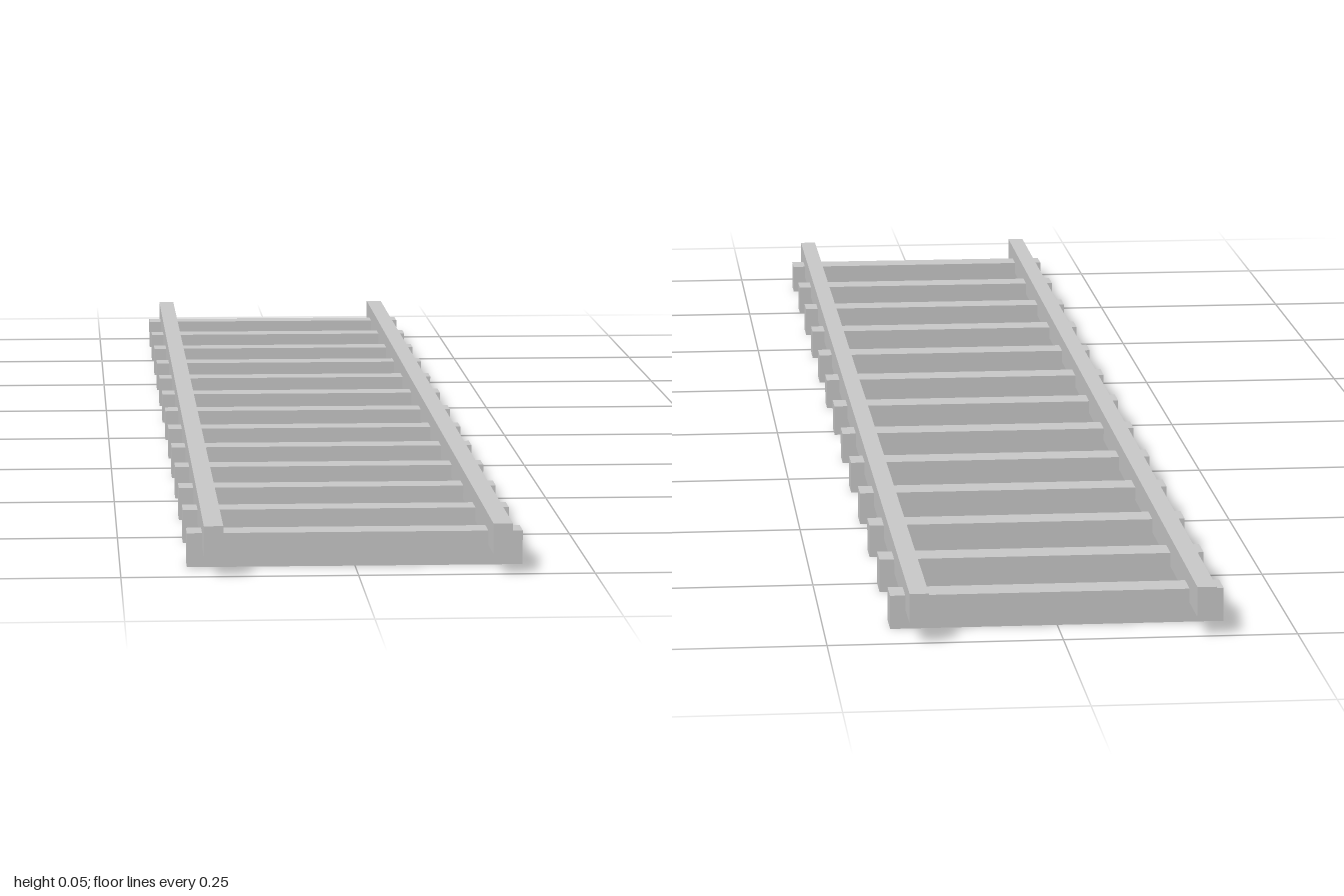
import * as THREE from 'three';

export function createModel() {
  const group = new THREE.Group();
  const material = new THREE.MeshStandardMaterial({ color: 0xcccccc, flatShading: true });

  const addBox = (name, size, position) => {
    const mesh = new THREE.Mesh(new THREE.BoxGeometry(...size), material);
    mesh.name = name;
    mesh.position.set(...position);
    group.add(mesh);
  };

  // Two long rails, let into the tops of the sleepers
  addBox('leftRail', [0.0205, 0.0325, 2], [0.1525, 0.0375, 0]);
  addBox('rightRail', [0.0205, 0.0325, 2], [-0.1525, 0.0375, 0]);

  // Evenly spaced cross sleepers
  const count = 13;
  const spacing = 0.1538;
  for (let i = 0; i < count; i++) {
    const z = (i - (count - 1) / 2) * spacing;
    addBox(`sleeper${i + 1}`, [0.358, 0.0365, 0.0358], [0, 0.01825, z]);
  }

  return group;
}
